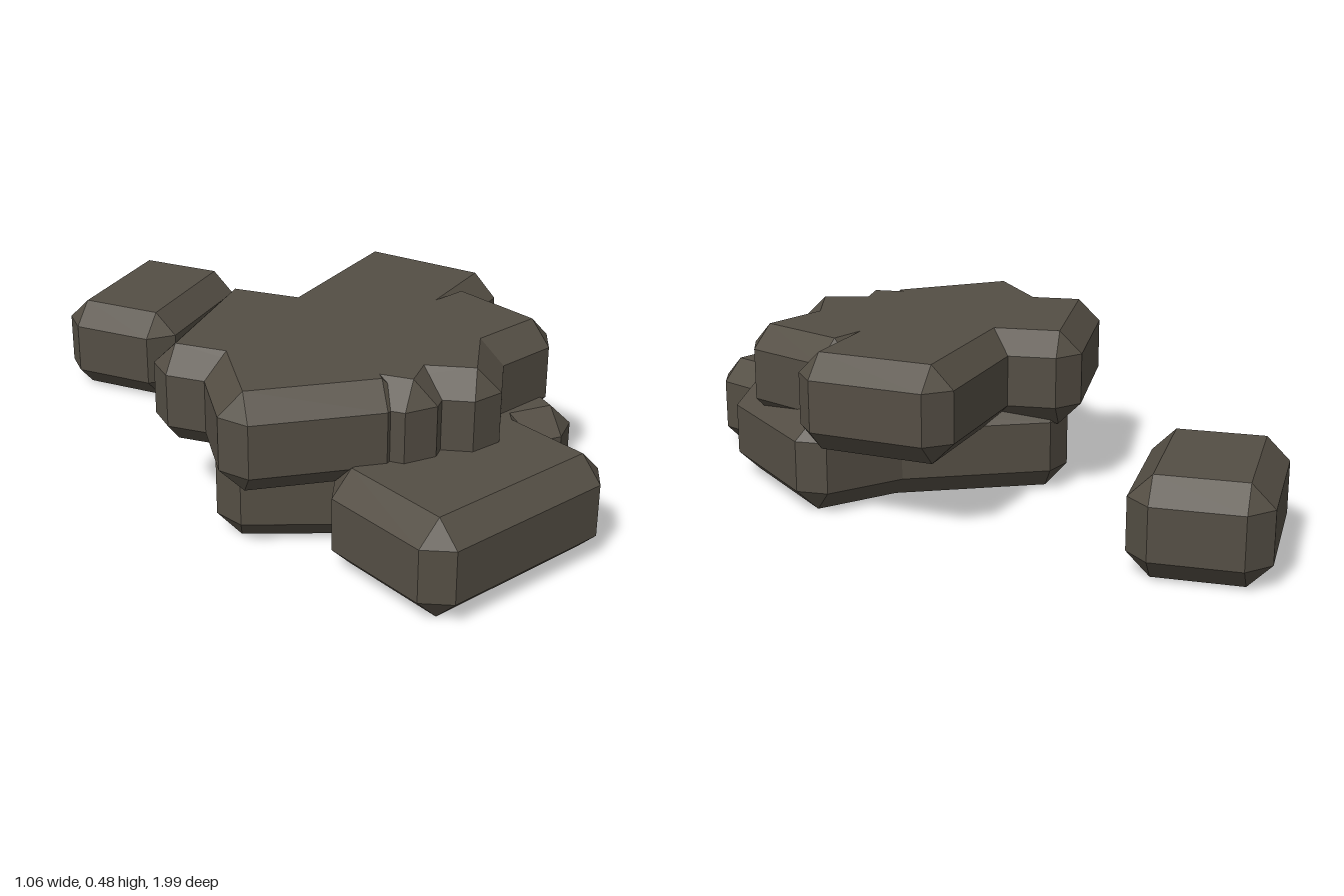
import * as THREE from 'three';
import { ConvexGeometry } from 'three/addons/geometries/ConvexGeometry.js';

const HEIGHT = 0.274;
const BEVEL = 0.064;

// Box with every edge and corner cut once
function bevelledStone(length, depth) {
  const a = length / 2, b = HEIGHT / 2, c = depth / 2, k = BEVEL;
  const points = [];
  for (const sx of [-1, 1]) for (const sy of [-1, 1]) for (const sz of [-1, 1]) {
    points.push(
      new THREE.Vector3(sx * a, sy * (b - k), sz * (c - k)),
      new THREE.Vector3(sx * (a - k), sy * b, sz * (c - k)),
      new THREE.Vector3(sx * (a - k), sy * (b - k), sz * c)
    );
  }
  return new ConvexGeometry(points);
}

export function createModel() {
  const model = new THREE.Group();
  model.name = 'stonePile';
  const stone = new THREE.MeshStandardMaterial({ color: 0x544e44 });
  stone.name = 'dark stone';

  // name, x, z, turn in degrees, length, depth
  const lower = [
    ['lowerFrontStone', 0.049, 0.725, 11.5, 0.625, 0.44],
    ['lowerLeftStone', 0.25, 0.345, -5.7, 0.5, 0.535],
    ['lowerMiddleStone', 0.02, 0.31, -27.4, 0.835, 0.61],
    ['looseStone', -0.185, -0.735, 37.5, 0.51, 0.37],
  ];
  const upper = [
    ['upperBackRightStone', -0.117, 0.248, 41.8, 0.53, 0.77],
    ['upperBackLeftStone', 0.167, 0.079, 30, 0.66, 0.46],
    ['upperLeftStone', 0.188, 0.365, 13, 0.56, 0.39],
    ['upperFrontStone', 0.013, 0.38, 54, 0.42, 0.61],
    ['upperFrontRightStone', -0.225, 0.32, -16, 0.476, 0.57],
  ];

  // The upper layer sinks a little into the lower one
  for (const [layer, base] of [[lower, 0], [upper, 0.203]]) {
    for (const [name, x, z, turn, length, depth] of layer) {
      const mesh = new THREE.Mesh(bevelledStone(length, depth), stone);
      mesh.name = name;
      mesh.position.set(x, base + HEIGHT / 2, z);
      mesh.rotation.y = THREE.MathUtils.degToRad(turn);
      model.add(mesh);
    }
  }
  return model;
}
